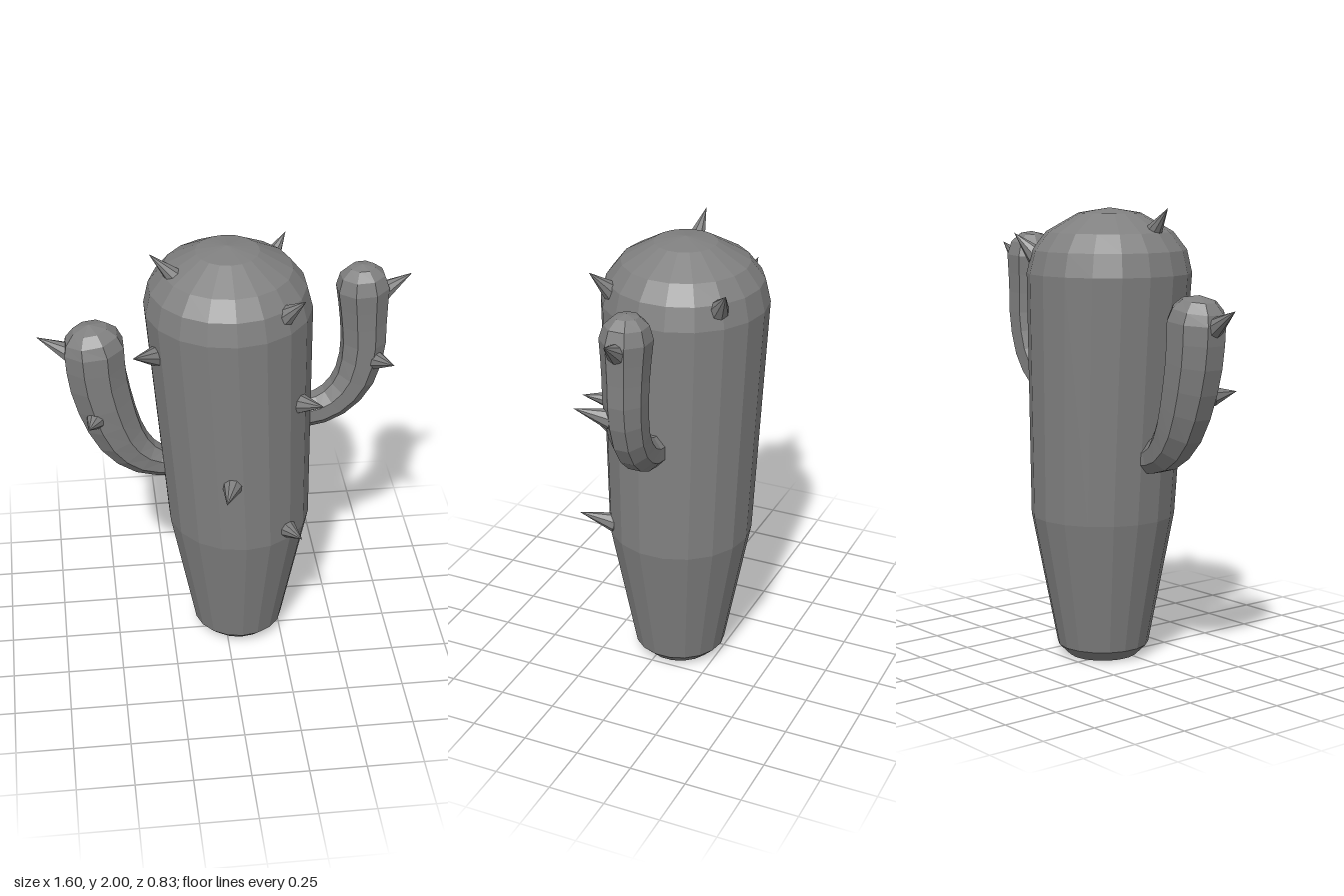
import * as THREE from 'three';

const CZ = -0.058; // depth of the stem axis and both arms
const mat = new THREE.MeshStandardMaterial({ color: 0x808080, flatShading: true });

function add(group, name, geometry) {
  const flat = geometry.index ? geometry.toNonIndexed() : geometry;
  flat.computeVertexNormals();
  const mesh = new THREE.Mesh(flat, mat);
  mesh.name = name;
  group.add(mesh);
  return mesh;
}

// Faceted tube in the xy plane: a smoothed path of [x, y, radius] closed by cap rings
function armGeometry(path, cap, sides = 8) {
  const curve = new THREE.CatmullRomCurve3(path.map(p => new THREE.Vector3(...p)));
  const rings = [...curve.getPoints(10).map(p => p.toArray()), ...cap];
  const pos = [], index = [];
  rings.forEach(([x, y, r], i) => {
    const a = rings[Math.max(i - 1, 0)], b = rings[Math.min(i + 1, rings.length - 1)];
    const t = new THREE.Vector2(b[0] - a[0], b[1] - a[1]).normalize();
    for (let j = 0; j < sides; j++) {
      const ang = ((j + 0.5) / sides) * Math.PI * 2;
      const u = Math.cos(ang) * r * 1.11, w = Math.sin(ang) * r * 1.03;
      pos.push(x + t.y * u, y - t.x * u, CZ + w);
      if (i < rings.length - 1) {
        const p = i * sides + j, q = i * sides + ((j + 1) % sides);
        index.push(p, p + sides, q + sides, p, q + sides, q);
      }
    }
  });
  const g = new THREE.BufferGeometry();
  g.setAttribute('position', new THREE.Float32BufferAttribute(pos, 3));
  g.setIndex(index);
  return g;
}

// Thorn with a blunt faceted root, running from base to tip
function addSpike(group, base, tip) {
  const a = new THREE.Vector3(...base), b = new THREE.Vector3(...tip);
  const dir = b.clone().sub(a), len = dir.length();
  const profile = [[0, -0.03], [0.032, -0.022], [0.044, -0.004], [0, len]];
  const spike = add(group, 'spike', new THREE.LatheGeometry(profile.map(p => new THREE.Vector2(...p)), 8));
  spike.position.copy(a);
  spike.quaternion.setFromUnitVectors(new THREE.Vector3(0, 1, 0), dir.normalize());
}

export function createModel() {
  const model = new THREE.Group();
  model.name = 'cactus';

  // Stem: tapered foot, swelling trunk and domed top, leaning slightly sideways
  const profile = [[0, 0], [0.152, 0], [0.203, 0.05], [0.317, 0.64], [0.359, 1.71],
    [0.335, 1.81], [0.275, 1.888], [0.135, 1.968], [0, 1.99]];
  const stem = new THREE.LatheGeometry(profile.map(p => new THREE.Vector2(...p)), 18);
  const sp = stem.attributes.position;
  for (let i = 0; i < sp.count; i++) {
    const lean = Math.max(0, sp.getY(i) - 0.64) / 1.07;
    sp.setX(i, sp.getX(i) + 0.064 - 0.048 * Math.min(lean, 1.05));
    sp.setZ(i, sp.getZ(i) + CZ);
  }
  add(model, 'stem', stem);

  // Arms
  add(model, 'rightArm', armGeometry([
    [-0.13, 0.92, 0.06], [-0.27, 0.93, 0.062], [-0.37, 0.975, 0.08], [-0.455, 1.08, 0.1],
    [-0.512, 1.235, 0.114], [-0.548, 1.4, 0.121], [-0.557, 1.54, 0.123]],
  [[-0.566, 1.59, 0.107], [-0.571, 1.63, 0.07], [-0.574, 1.65, 0]]));
  add(model, 'leftArm', armGeometry([
    [0.26, 1.15, 0.07], [0.4, 1.16, 0.07], [0.5, 1.215, 0.075], [0.572, 1.32, 0.082],
    [0.602, 1.47, 0.089], [0.598, 1.62, 0.094], [0.59, 1.76, 0.105]],
  [[0.587, 1.82, 0.088], [0.585, 1.856, 0.05], [0.585, 1.867, 0]]));

  // Spikes: base, tip
  const spikes = new THREE.Group();
  spikes.name = 'spikes';
  model.add(spikes);
  [
    [[-0.205, 1.88, -0.005], [-0.315, 1.995, -0.008]],
    [[0.228, 1.785, 0.185], [0.3, 1.88, 0.25]],
    [[0.228, 1.785, -0.3], [0.3, 1.88, -0.36]],
    [[-0.305, 1.555, 0.07], [-0.405, 1.605, 0.165]],
    [[0.308, 1.322, 0.145], [0.39, 1.363, 0.248]],
    [[0, 0.99, 0.26], [-0.04, 1.005, 0.41]],
    [[0.252, 0.688, 0.18], [0.3, 0.73, 0.325]],
    [[-0.665, 1.523, CZ], [-0.797, 1.6, CZ - 0.005]],
    [[-0.565, 1.225, 0.03], [-0.6, 1.24, 0.13]],
    [[0.68, 1.735, CZ], [0.8, 1.81, CZ - 0.005]],
    [[0.65, 1.425, -0.005], [0.707, 1.47, 0.125]],
  ].forEach(([base, tip]) => addSpike(spikes, base, tip));

  return model;
}
